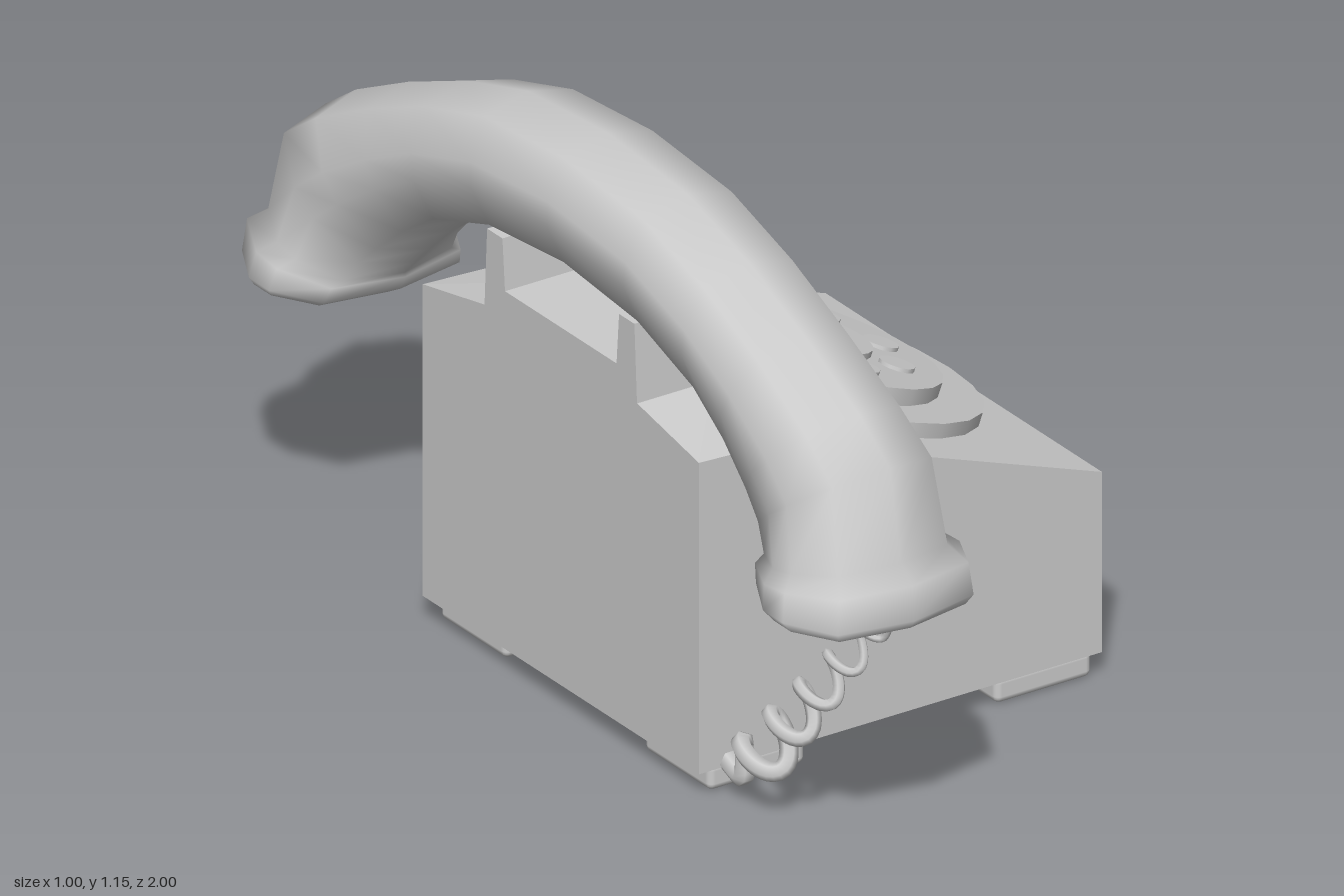
import * as THREE from 'three';
import { RoundedBoxGeometry } from 'three/addons/geometries/RoundedBoxGeometry.js';
import { ConvexGeometry } from 'three/addons/geometries/ConvexGeometry.js';

const grey = new THREE.MeshStandardMaterial({ color: 0xcccccc });
const V = (x, y, z) => new THREE.Vector3(x, y, z);

function add(parent, name, geometry, x = 0, y = 0, z = 0) {
  const mesh = new THREE.Mesh(geometry, grey);
  mesh.name = name;
  mesh.position.set(x, y, z);
  parent.add(mesh);
  return mesh;
}

// Handset: rings given by an upper point, a lower point and a half width
function handsetGeometry() {
  const section = [[0, 1], [0.74, 0.82], [1, 0.2], [1, -0.2], [0.74, -0.82],
    [0, -1], [-0.74, -0.82], [-1, -0.2], [-1, 0.2], [-0.74, 0.82]];
  // upper z, upper y, lower z, lower y, half width
  const half = [
    [0, 1.155, 0, 0.895, 0.135],
    [0.26, 1.135, 0.24, 0.872, 0.135],
    [0.46, 1.075, 0.42, 0.81, 0.135],
    [0.65, 0.995, 0.51, 0.745, 0.136],
    [0.82, 0.91, 0.58, 0.68, 0.142],
    [0.92, 0.84, 0.625, 0.635, 0.15],
    [0.955, 0.66, 0.66, 0.6, 0.165],
    [0.995, 0.63, 0.66, 0.59, 0.195],
    [1.0, 0.56, 0.675, 0.56, 0.205],
    [0.985, 0.54, 0.71, 0.54, 0.19],
  ];
  const mirrored = half.slice(1).reverse().map(([a, b, c, d, w]) => [-a, b, -c, d, w]);
  const rings = [...mirrored, ...half];
  const n = section.length, pos = [], idx = [];
  const ring = ([tz, ty, bz, by, w]) => section.forEach(([a, b]) => pos.push(
    a * w, (ty + by) / 2 + b * (ty - by) / 2, (tz + bz) / 2 + b * (tz - bz) / 2));
  rings.forEach(ring);
  for (let i = 0; i < rings.length - 1; i++) {
    for (let k = 0; k < n; k++) {
      const a = i * n + k, b = i * n + (k + 1) % n;
      idx.push(a, a + n, b, b, a + n, b + n);
    }
  }
  // Flat ends with their own vertices, for a crisp rim
  [rings[0], rings[rings.length - 1]].forEach((r, end) => {
    const s = pos.length / 3;
    ring(r);
    for (let k = 1; k < n - 1; k++) {
      idx.push(s, ...(end ? [s + k + 1, s + k] : [s + k, s + k + 1]));
    }
  });
  const g = new THREE.BufferGeometry();
  g.setAttribute('position', new THREE.Float32BufferAttribute(pos, 3));
  g.setIndex(idx);
  g.computeVertexNormals();
  return g;
}

// Coiled cord that grows thicker towards the body
function cordGeometry() {
  const top = V(-0.29, 0.5, 0.87), bottom = V(-0.335, 0.09, 0.54);
  const across = V(0, 0.62, -0.78), turns = 4.5, pts = [V(-0.29, 0.56, 0.93)];
  for (let i = 0; i <= 54; i++) {
    const t = i / 54, a = Math.PI + t * turns * Math.PI * 2;
    pts.push(top.clone().lerp(bottom, t)
      .addScaledVector(across, Math.cos(a) * (0.03 + 0.02 * t))
      .add(V(Math.sin(a) * (0.01 + 0.018 * t), 0, 0)));
  }
  pts.push(V(-0.335, 0.05, 0.5), V(-0.33, 0.06, 0.44));
  const curve = new THREE.CatmullRomCurve3(pts), steps = 130, sides = 6;
  const g = new THREE.TubeGeometry(curve, steps, 1, sides);
  const p = g.attributes.position, v = V(0, 0, 0);
  for (let i = 0; i < p.count; i++) {
    const t = Math.floor(i / (sides + 1)) / steps;
    const c = curve.getPointAt(t);
    v.fromBufferAttribute(p, i).sub(c).multiplyScalar(0.006 + 0.016 * t).add(c);
    p.setXYZ(i, v.x, v.y, v.z);
  }
  return g;
}

export function createModel() {
  const model = new THREE.Group();
  model.name = 'rotaryTelephone';

  // Wedge-shaped body
  const profile = new THREE.Shape([[-0.4, 0.05], [0.5, 0.05], [0.5, 0.42],
    [-0.23, 0.682], [-0.4, 0.69]].map(([x, y]) => new THREE.Vector2(x, y)));
  add(model, 'body', new THREE.ExtrudeGeometry(profile, { depth: 0.9, bevelEnabled: false }), 0, 0, -0.45);

  // Raised cradle base, cross wall and two prongs
  const hip = [];
  for (const s of [-1, 1]) {
    hip.push(V(-0.4, 0.67, s * 0.45), V(-0.4, 0.69, s * 0.45), V(-0.23, 0.67, s * 0.45),
      V(-0.23, 0.682, s * 0.45), V(-0.4, 0.73, s * 0.25), V(-0.23, 0.73, s * 0.25));
  }
  add(model, 'cradleBase', new ConvexGeometry(hip));
  add(model, 'cradleWall', new THREE.BoxGeometry(0.17, 0.09, 0.4), -0.315, 0.74, 0);
  for (const s of [-1, 1]) {
    const prong = [];
    for (const x of [-0.4, -0.23]) {
      prong.push(V(x, 0.7, s * 0.25), V(x, 0.7, s * 0.175), V(x, 0.89, s * 0.24), V(x, 0.89, s * 0.19));
    }
    add(model, s > 0 ? 'frontProng' : 'backProng', new ConvexGeometry(prong));
  }

  // Feet
  for (const x of [-0.262, 0.378]) {
    for (const z of [-0.333, 0.333]) {
      add(model, 'foot', new RoundedBoxGeometry(0.215, 0.054, 0.215, 2, 0.014), x, 0.027, z);
    }
  }

  // Dial lying on the slope
  const dial = new THREE.Group();
  dial.name = 'dial';
  dial.position.set(0.13, 0.553, 0);
  dial.rotation.z = -0.355;
  model.add(dial);
  const disc = (name, r, h, x, y, z, sides = 24) =>
    add(dial, name, new THREE.CylinderGeometry(r, r, h, sides), x, y, z);
  disc('dialBase', 0.35, 0.05, 0, 0.005, 0);
  disc('fingerWheel', 0.262, 0.06, 0, 0.035, 0).rotation.z = -0.03;
  disc('dialCentre', 0.122, 0.02, 0, 0.066, 0);
  for (let i = 0; i < 8; i++) {
    const a = i * Math.PI / 4;
    disc('fingerHole', 0.035, 0.016, 0.172 * Math.cos(a), 0.065 - 0.005 * Math.cos(a), 0.172 * Math.sin(a), 12);
  }
  // Finger stop
  disc('fingerStop', 0.038, 0.04, 0.12, 0.07, -0.222, 10);
  const arm = add(dial, 'fingerStopArm', new THREE.BoxGeometry(0.03, 0.02, 0.075), 0.1, 0.068, -0.19);
  arm.rotation.y = 0.6;

  add(model, 'handset', handsetGeometry(), -0.295, 0, 0);
  add(model, 'cord', cordGeometry());
  return model;
}
